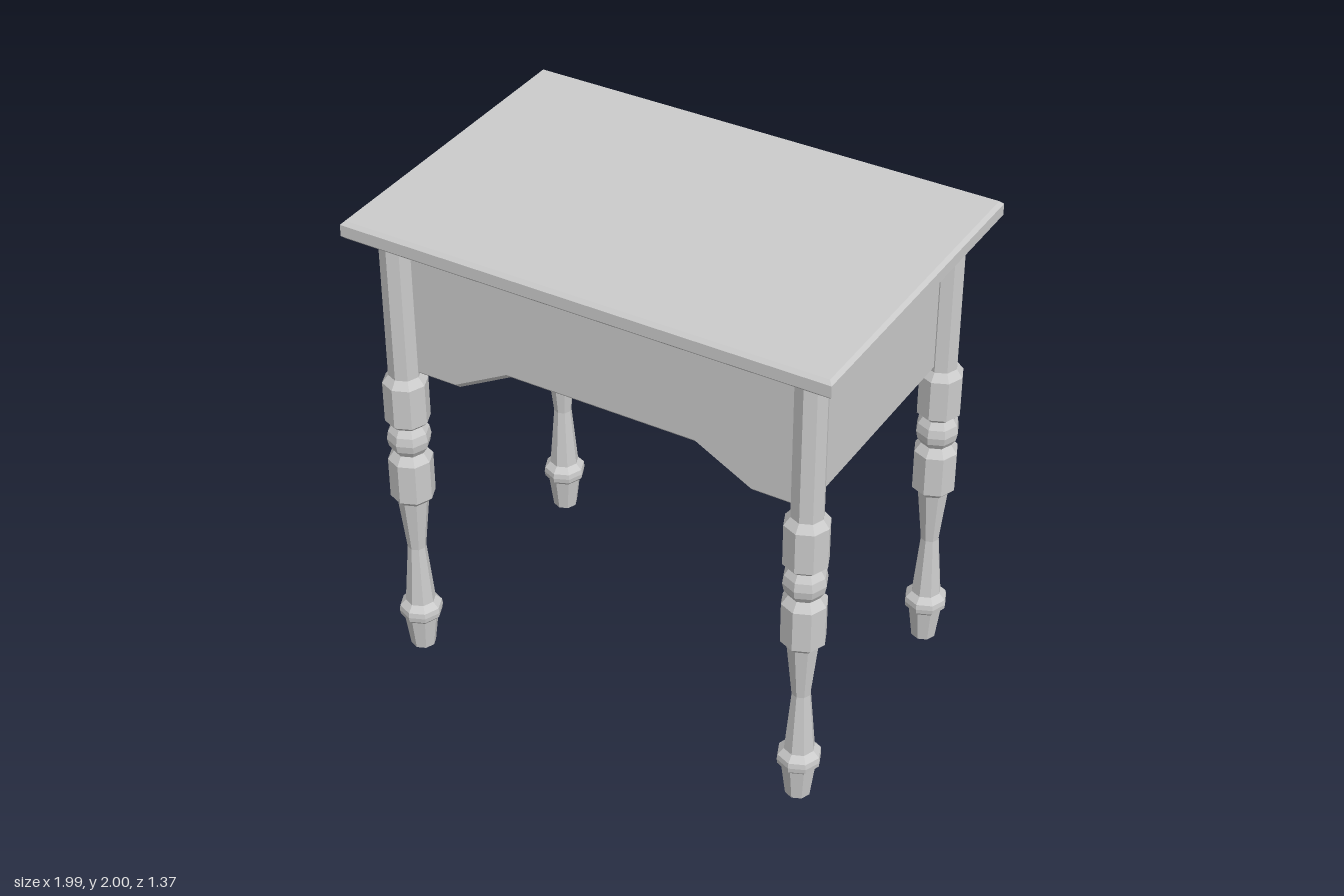
import * as THREE from 'three';

const material = new THREE.MeshStandardMaterial({ color: 0xcccccc, flatShading: true });

function addMesh(parent, name, geometry, x = 0, y = 0, z = 0) {
  const mesh = new THREE.Mesh(geometry, material);
  mesh.name = name;
  mesh.position.set(x, y, z);
  parent.add(mesh);
  return mesh;
}

const toPoints = (pairs) => pairs.map(([a, b]) => new THREE.Vector2(a, b));

// Extrudes an outline along z, centred, with chamfered end edges inside the given outline
function chamferedSlab(outline, length, chamfer) {
  const geometry = new THREE.ExtrudeGeometry(new THREE.Shape(toPoints(outline)), {
    depth: length - 2 * chamfer,
    bevelEnabled: true,
    bevelThickness: chamfer,
    bevelSize: chamfer,
    bevelOffset: -chamfer,
    bevelSegments: 1,
  });
  return geometry.translate(0, 0, -(length - 2 * chamfer) / 2);
}

const rectangle = (w, h) => [[-w / 2, -h / 2], [w / 2, -h / 2], [w / 2, h / 2], [-w / 2, h / 2]];

export function createModel() {
  const table = new THREE.Group();
  table.name = 'sideTable';

  // Table top
  const top = chamferedSlab(rectangle(1.99, 1.34), 0.075, 0.014).rotateX(-Math.PI / 2);
  addMesh(table, 'tableTop', top, 0, 1.9625, 0.013);

  // Body with an arched underside and chamfered lower corners
  const half = [[0.39, 1.44], [0.62, 1.315], [0.83, 1.315], [0.85, 1.335], [0.85, 1.94]];
  const mirrored = half.map(([x, y]) => [-x, y]).reverse();
  addMesh(table, 'body', chamferedSlab([...half, ...mirrored], 1.06, 0.02), 0, 0, 0.015);

  // Turned legs
  const legProfile = toPoints([
    [0, 0], [0.05, 0], [0.068, 0.14], [0.084, 0.157], [0.087, 0.178], [0.084, 0.2], [0.06, 0.225],
    [0.037, 0.49], [0.062, 0.725], [0.088, 0.752], [0.088, 0.925], [0.062, 0.96],
    [0.08, 0.988], [0.086, 1.02], [0.08, 1.055], [0.062, 1.083], [0.088, 1.107],
    [0.088, 1.28], [0.063, 1.312], [0.063, 1.93], [0, 1.93],
  ]);
  const legGeometry = new THREE.LatheGeometry(legProfile, 8);
  for (const [side, x] of [['Left', 0.855], ['Right', -0.855]]) {
    addMesh(table, `front${side}Leg`, legGeometry, x, 0, 0.548);
    addMesh(table, `back${side}Leg`, legGeometry, x, 0, -0.518);
  }

  // Drawer front and knob on the back face
  const drawer = new THREE.Group();
  drawer.name = 'drawer';
  drawer.position.set(0, 1.685, 0);
  table.add(drawer);
  addMesh(drawer, 'drawerFront', chamferedSlab(rectangle(1.28, 0.32), 0.12, 0.022), 0, 0, -0.528);
  const knobProfile = toPoints([[0, 0], [0.06, 0], [0.081, 0.02], [0.081, 0.075], [0.06, 0.098], [0, 0.098]]);
  const knob = new THREE.LatheGeometry(knobProfile, 8, Math.PI / 8).rotateX(-Math.PI / 2);
  addMesh(drawer, 'knob', knob, 0, 0, -0.585);

  return table;
}
